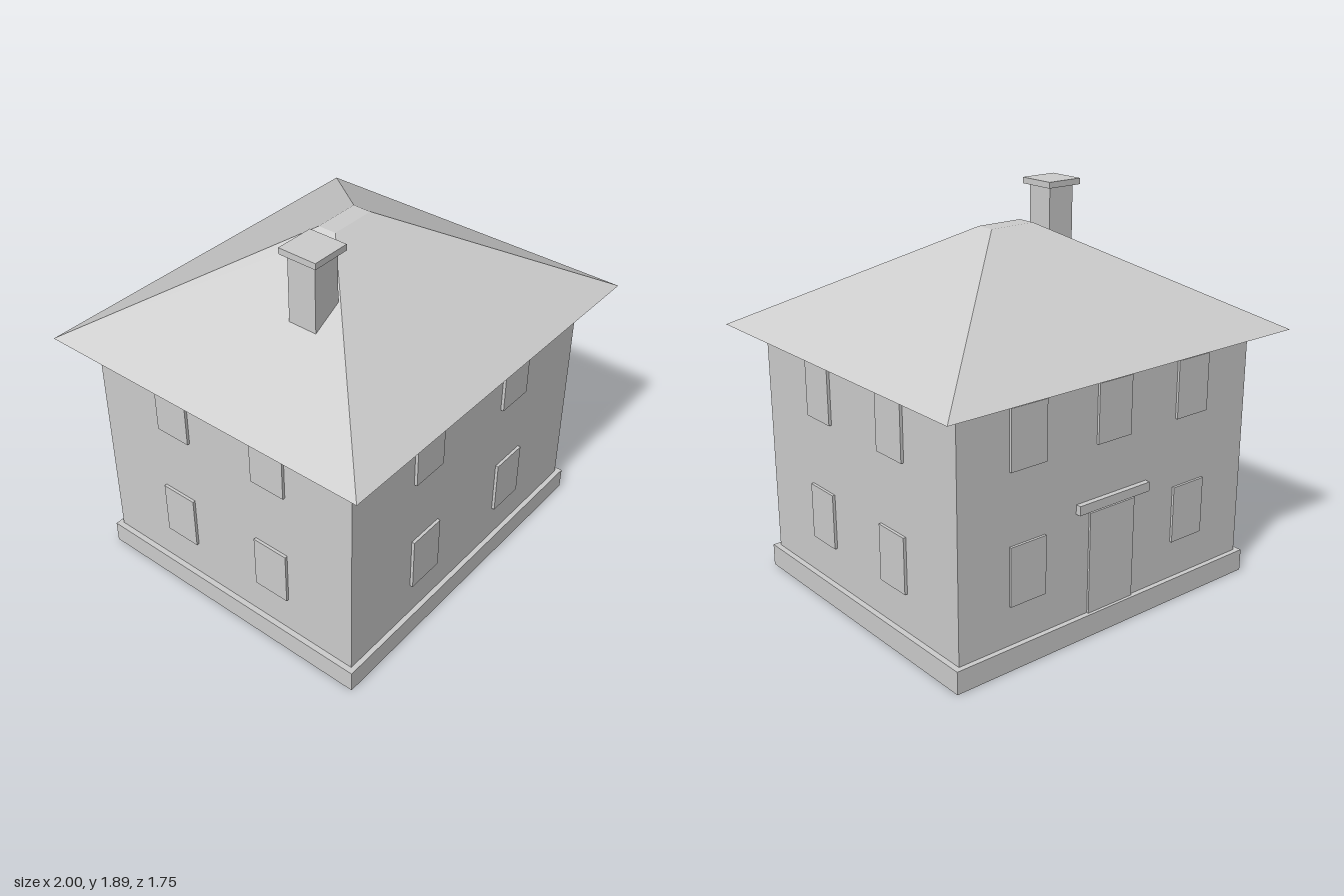
import * as THREE from 'three';

export function createModel() {
  const house = new THREE.Group();
  house.name = 'house';
  const plaster = new THREE.MeshStandardMaterial({ color: 0xcccccc });
  plaster.name = 'light grey';

  // Box given by its extents along each axis
  const block = (name, [x0, x1], [y0, y1], [z0, z1]) => {
    const mesh = new THREE.Mesh(new THREE.BoxGeometry(x1 - x0, y1 - y0, z1 - z0), plaster);
    mesh.position.set((x0 + x1) / 2, (y0 + y1) / 2, (z0 + z1) / 2);
    mesh.name = name;
    house.add(mesh);
    return mesh;
  };

  // Body
  block('plinth', [-0.888, 0.888], [0, 0.11], [-0.765, 0.765]);
  block('walls', [-0.86, 0.86], [0.11, 1.23], [-0.74, 0.74]);
  block('cornice', [-0.9, 0.9], [1.23, 1.26], [-0.78, 0.78]);

  // Hipped roof: a box whose top is drawn in to a small flat ridge
  const roof = block('roof', [-1, 1], [1.26, 1.75], [-0.875, 0.875]);
  const p = roof.geometry.attributes.position;
  for (let i = 0; i < p.count; i++) {
    if (p.getY(i) > 0) {
      p.setX(i, Math.sign(p.getX(i)) * 0.122);
      p.setZ(i, Math.sign(p.getZ(i)) * 0.047);
    }
  }
  roof.geometry.computeVertexNormals();

  // Chimney
  block('chimneyStack', [-0.52, -0.373], [1.45, 1.86], [0.123, 0.27]);
  block('chimneyCap', [-0.545, -0.348], [1.86, 1.89], [0.098, 0.295]);

  // Front windows
  for (const x of [-0.335, 0.335]) {
    for (const y of [0.285, 0.9]) {
      block('frontWindow', [x - 0.098, x + 0.098], [y, y + 0.275], [0.73, 0.755]);
    }
  }

  // Side windows, mirrored left and right
  for (const side of [-1, 1]) {
    for (const z of [-0.283, 0.283]) {
      for (const y of [0.3, 0.915]) {
        block('sideWindow', side > 0 ? [0.85, 0.874] : [-0.874, -0.85],
          [y, y + 0.272], [z - 0.093, z + 0.093]);
      }
    }
  }

  // Back windows: three above, two beside the door
  for (const [x, y] of [[-0.49, 0.92], [0, 0.92], [0.49, 0.92], [-0.49, 0.3], [0.49, 0.3]]) {
    block('backWindow', [x - 0.098, x + 0.098], [y, y + 0.28], [-0.752, -0.73]);
  }

  // Back door and its canopy
  block('door', [-0.135, 0.135], [0.11, 0.605], [-0.75, -0.73]);
  block('doorCanopy', [-0.212, 0.212], [0.62, 0.665], [-0.766, -0.73]);

  return house;
}
